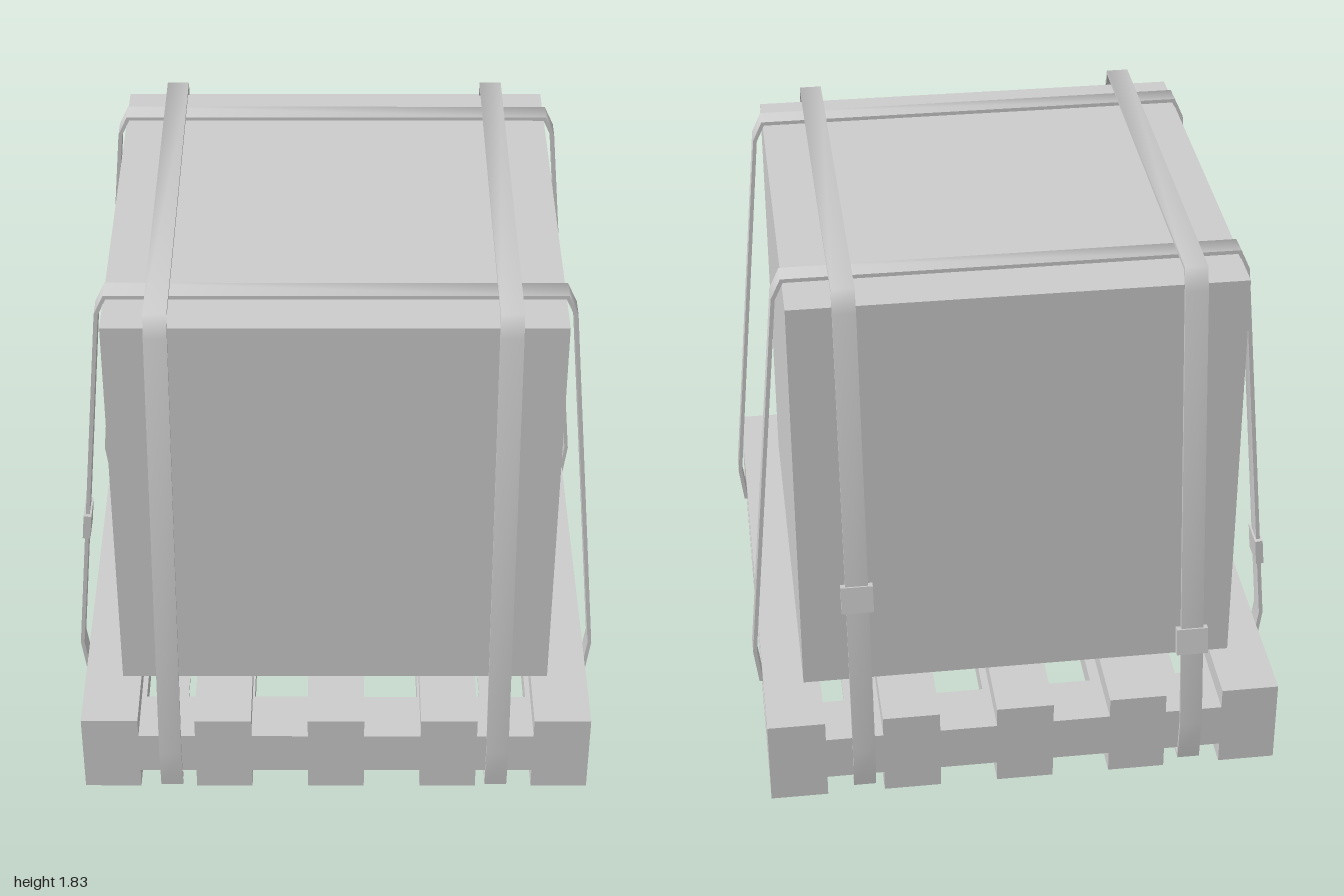
import * as THREE from 'three';
import { toCreasedNormals } from 'three/addons/utils/BufferGeometryUtils.js';

const material = new THREE.MeshStandardMaterial({ color: 0xcccccc });
const STRAP_WIDTH = 0.075;
const STRAP_THICKNESS = 0.013;

// Box given by its minimum and maximum corners
function box(name, [x0, y0, z0], [x1, y1, z1]) {
  const mesh = new THREE.Mesh(new THREE.BoxGeometry(x1 - x0, y1 - y0, z1 - z0), material);
  mesh.position.set((x0 + x1) / 2, (y0 + y1) / 2, (z0 + z1) / 2);
  mesh.name = name;
  return mesh;
}

// Moves every edge of a convex counter-clockwise loop inwards by d
function inset(points, d) {
  const n = points.length;
  return points.map((p, i) => {
    const a = p.clone().sub(points[(i + n - 1) % n]).normalize();
    const b = points[(i + 1) % n].clone().sub(p).normalize();
    const na = new THREE.Vector2(-a.y, a.x);
    const nb = new THREE.Vector2(-b.y, b.x);
    return p.clone().addScaledVector(na.clone().add(nb), d / (1 + na.dot(nb)));
  });
}

// Closed strap loop in the local xy plane, from its right half (bottom to top)
function strapLoop(name, half, buckleY) {
  const group = new THREE.Group();
  group.name = name;
  const right = half.map(([x, y]) => new THREE.Vector2(x, y));
  const left = half.map(([x, y]) => new THREE.Vector2(-x, y)).reverse();
  const outer = [...right, ...left];
  const shape = new THREE.Shape(outer);
  shape.holes.push(new THREE.Path(inset(outer, STRAP_THICKNESS)));
  let geometry = new THREE.ExtrudeGeometry(shape, { depth: STRAP_WIDTH, bevelEnabled: false });
  geometry.translate(0, 0, -STRAP_WIDTH / 2);
  geometry = toCreasedNormals(geometry, 1.3);
  const band = new THREE.Mesh(geometry, material);
  band.name = 'strapBand';

  // Buckle lies along the sloping side of the strap
  const [low, high] = [half[1], half[2]];
  const slope = (high[0] - low[0]) / (high[1] - low[1]);
  const buckle = new THREE.Mesh(new THREE.BoxGeometry(0.026, 0.095, 0.105), material);
  buckle.name = 'buckle';
  buckle.position.set(-(low[0] + (buckleY - low[1]) * slope) + STRAP_THICKNESS / 2, buckleY, 0);
  buckle.rotation.z = Math.atan(slope);
  group.add(band, buckle);
  return group;
}

export function createModel() {
  const model = new THREE.Group();
  model.name = 'strappedCrateOnPallet';

  // Pallet: five slats above and below three cross beams
  const pallet = new THREE.Group();
  pallet.name = 'pallet';
  const front = 0.95, back = -0.97, halfWidth = 0.865, slat = 0.192;
  for (let i = 0; i < 5; i++) {
    const x = -halfWidth + i * (2 * halfWidth - slat) / 4;
    pallet.add(box('topSlat', [x, 0.235, back], [x + slat, 0.305, front]));
    pallet.add(box('bottomSlat', [x, 0, back], [x + slat, 0.075, front]));
  }
  for (const [z0, z1] of [[back, -0.77], [-0.06, 0.135], [0.755, front]]) {
    pallet.add(box('crossBeam', [-halfWidth, 0.075, z0], [halfWidth, 0.235, z1]));
  }
  model.add(pallet);

  // Load
  model.add(box('crate', [-0.737, 0.305, -0.742], [0.73, 1.77, 0.725]));

  // Straps across the width, passing under the top slats
  const sideways = [[0.876, 0.212], [0.892, 0.34], [0.767, 1.73], [0.735, 1.8]];
  for (const [z, buckleY] of [[0.553, 0.87], [-0.562, 0.61]]) {
    const strap = strapLoop('crossStrap', sideways, buckleY);
    strap.position.z = z;
    model.add(strap);
  }

  // Straps from front to back, passing under the cross beams
  const lengthways = [[0.985, 0.042], [1, 0.2], [0.755, 1.75], [0.728, 1.825]];
  for (const [x, buckleY] of [[0.548, 0.765], [-0.563, 0.515]]) {
    const strap = strapLoop('lengthStrap', lengthways, buckleY);
    strap.rotation.y = -Math.PI / 2;
    strap.position.x = x;
    model.add(strap);
  }
  return model;
}
